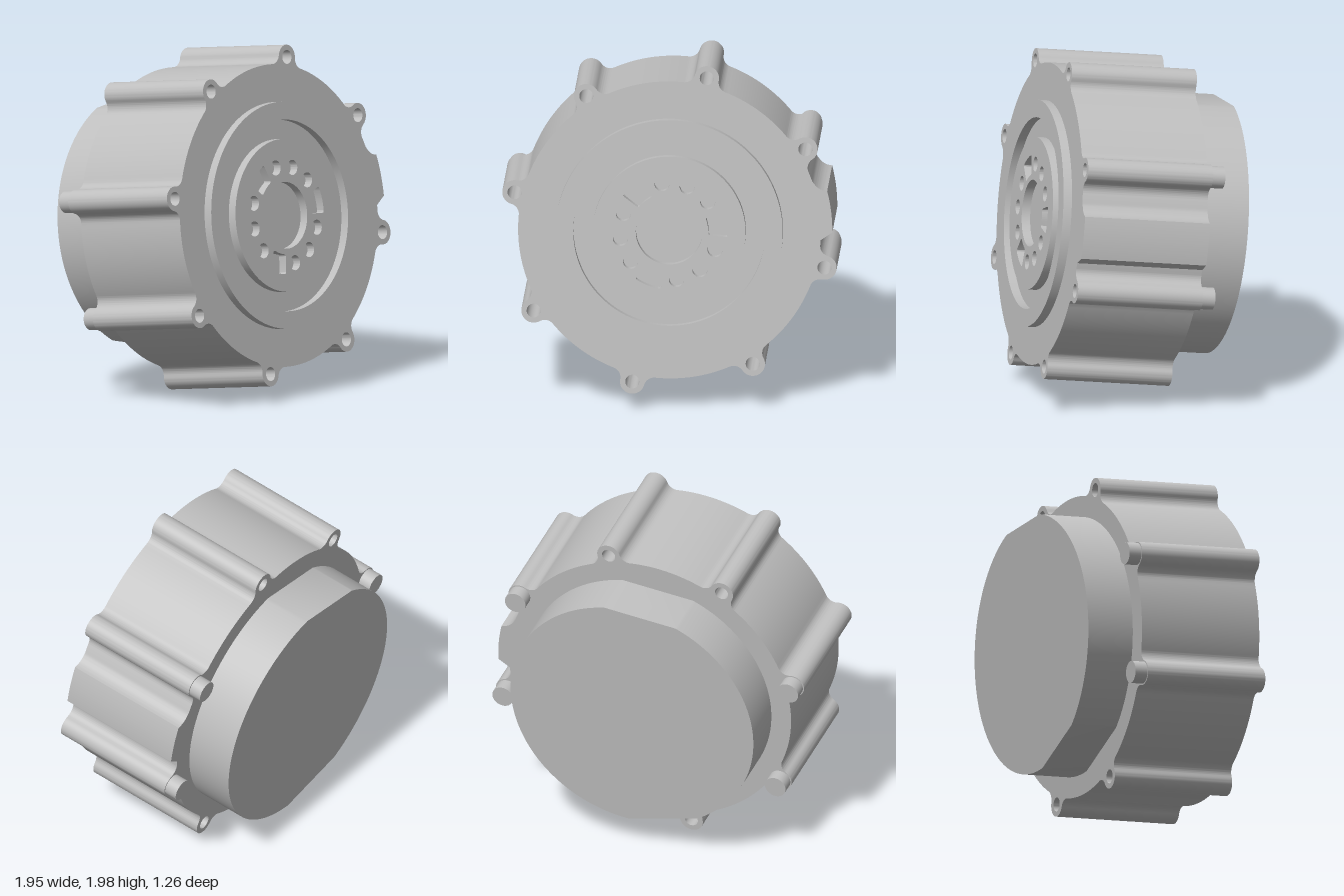
import * as THREE from 'three';
import { toCreasedNormals } from 'three/addons/utils/BufferGeometryUtils.js';

const RAD = Math.PI / 180;
const BODY_R = 0.86, LUG_DIST = 0.905, LUG_R = 0.07, FILLET = 0.06, LENGTH = 0.74;
const LUG_ANGLES = Array.from({ length: 8 }, (_, k) => (32 + 45 * k) * RAD);

const polar = (r, a) => [r * Math.cos(a), r * Math.sin(a)];

function circle(x, y, r) {
  const p = new THREE.Path();
  p.absarc(x, y, r, 0, Math.PI * 2, false);
  return p;
}

function disc(r) {
  const s = new THREE.Shape();
  s.absarc(0, 0, r, 0, Math.PI * 2, false);
  return s;
}

function extrude(shape, depth, z, segments) {
  const g = new THREE.ExtrudeGeometry(shape, { depth, bevelEnabled: false, curveSegments: segments });
  g.translate(0, 0, z);
  return toCreasedNormals(g, 0.5);
}

// Round body with filleted bolt lugs and one raised pad
function housingShape() {
  const s = new THREE.Shape();
  const fr = BODY_R + FILLET;
  const phi = Math.acos((fr * fr + LUG_DIST ** 2 - (LUG_R + FILLET) ** 2) / (2 * LUG_DIST * fr));
  LUG_ANGLES.forEach((a, k) => {
    const [lx, ly] = polar(LUG_DIST, a);
    const [ax, ay] = polar(fr, a - phi);
    const [bx, by] = polar(fr, a + phi);
    const aIn = Math.atan2(ly - ay, lx - ax);
    const bIn = Math.atan2(ly - by, lx - bx);
    s.absarc(ax, ay, FILLET, a - phi + Math.PI, aIn, true);
    s.absarc(lx, ly, LUG_R, aIn + Math.PI, bIn + Math.PI, false);
    s.absarc(bx, by, FILLET, bIn, a + phi + Math.PI, true);
    const next = a + 45 * RAD - phi;
    if (k === 7) {
      const turn = Math.PI * 2;
      s.absarc(0, 0, BODY_R, a + phi, turn - 3 * RAD, false);
      s.quadraticCurveTo(...polar(0.89, -1.5 * RAD), ...polar(0.925, 0));
      s.absarc(0, 0, 0.925, turn, turn + 15 * RAD, false);
      s.quadraticCurveTo(...polar(0.88, 16 * RAD), ...polar(BODY_R + 0.005, 19 * RAD));
      s.absarc(0, 0, BODY_R, turn + 20 * RAD, next, false);
    } else {
      s.absarc(0, 0, BODY_R, a + phi, next, false);
    }
  });
  for (const a of LUG_ANGLES) s.holes.push(circle(...polar(LUG_DIST, a), 0.04));
  return s;
}

// Pocket shaped like a ring sector with rounded corners
function pocket(a) {
  const p = new THREE.Path();
  const r0 = 0.222, r1 = 0.335, h = 13.5 * RAD, c = 0.015;
  const i = c / r0, o = c / r1;
  p.moveTo(...polar(r0 + c, a + h));
  p.quadraticCurveTo(...polar(r0, a + h), ...polar(r0, a + h - i));
  p.absarc(0, 0, r0, a + h - i, a - h + i, true);
  p.quadraticCurveTo(...polar(r0, a - h), ...polar(r0 + c, a - h));
  p.lineTo(...polar(r1 - c, a - h));
  p.quadraticCurveTo(...polar(r1, a - h), ...polar(r1, a - h + o));
  p.absarc(0, 0, r1, a - h + o, a + h - o, false);
  p.quadraticCurveTo(...polar(r1, a + h), ...polar(r1 - c, a + h));
  p.closePath();
  return p;
}

export function createModel() {
  const metal = new THREE.MeshStandardMaterial({ color: 0xbfbfbf });
  metal.name = 'grey metal';
  const model = new THREE.Group();
  model.name = 'motorHousing';
  const add = (name, geometry) => {
    const m = new THREE.Mesh(geometry, metal);
    m.name = name;
    model.add(m);
    return m;
  };

  add('housing', extrude(housingShape(), LENGTH, -LENGTH, 14));

  // Raised ring on the front face
  const ring = disc(0.645);
  ring.holes.push(circle(0, 0, 0.545));
  add('frontRing', extrude(ring, 0.05, 0, 96));

  // Hub plate: bore, nine bolt holes and three pockets
  const hub = disc(0.434);
  hub.holes.push(circle(0, 0, 0.19));
  for (let k = 0; k < 12; k++) {
    const a = (9 + 30 * k) * RAD;
    hub.holes.push(k % 4 === 0 ? pocket(a) : circle(...polar(0.28, a), 0.043));
  }
  add('hubPlate', extrude(hub, 0.05, 0, 48));

  // Rear drum with two flats
  const drum = new THREE.Shape();
  const flat = 17 * RAD, top = 97 * RAD, bottom = 258 * RAD;
  drum.absarc(0, 0, 0.74, top + flat, bottom - flat, false);
  drum.absarc(0, 0, 0.74, bottom + flat, top - flat + Math.PI * 2, false);
  drum.closePath();
  add('rearDrum', extrude(drum, 0.29, -LENGTH - 0.28, 48));

  // Locating pins at the back of four lugs
  for (const k of [0, 3, 4, 7]) {
    const g = new THREE.CylinderGeometry(0.063, 0.063, 0.08, 32);
    g.rotateX(Math.PI / 2);
    add('locatingPin', g).position.set(...polar(LUG_DIST, LUG_ANGLES[k]), -LENGTH - 0.035);
  }

  // Lean the whole unit slightly up and to its left
  const axis = new THREE.Vector3(0.06, 0.13, 0.99).normalize();
  model.quaternion.setFromUnitVectors(new THREE.Vector3(0, 0, 1), axis);
  model.position.set(0.02, 1.06, 0.48);
  const root = new THREE.Group();
  root.name = 'model';
  root.add(model);
  return root;
}
